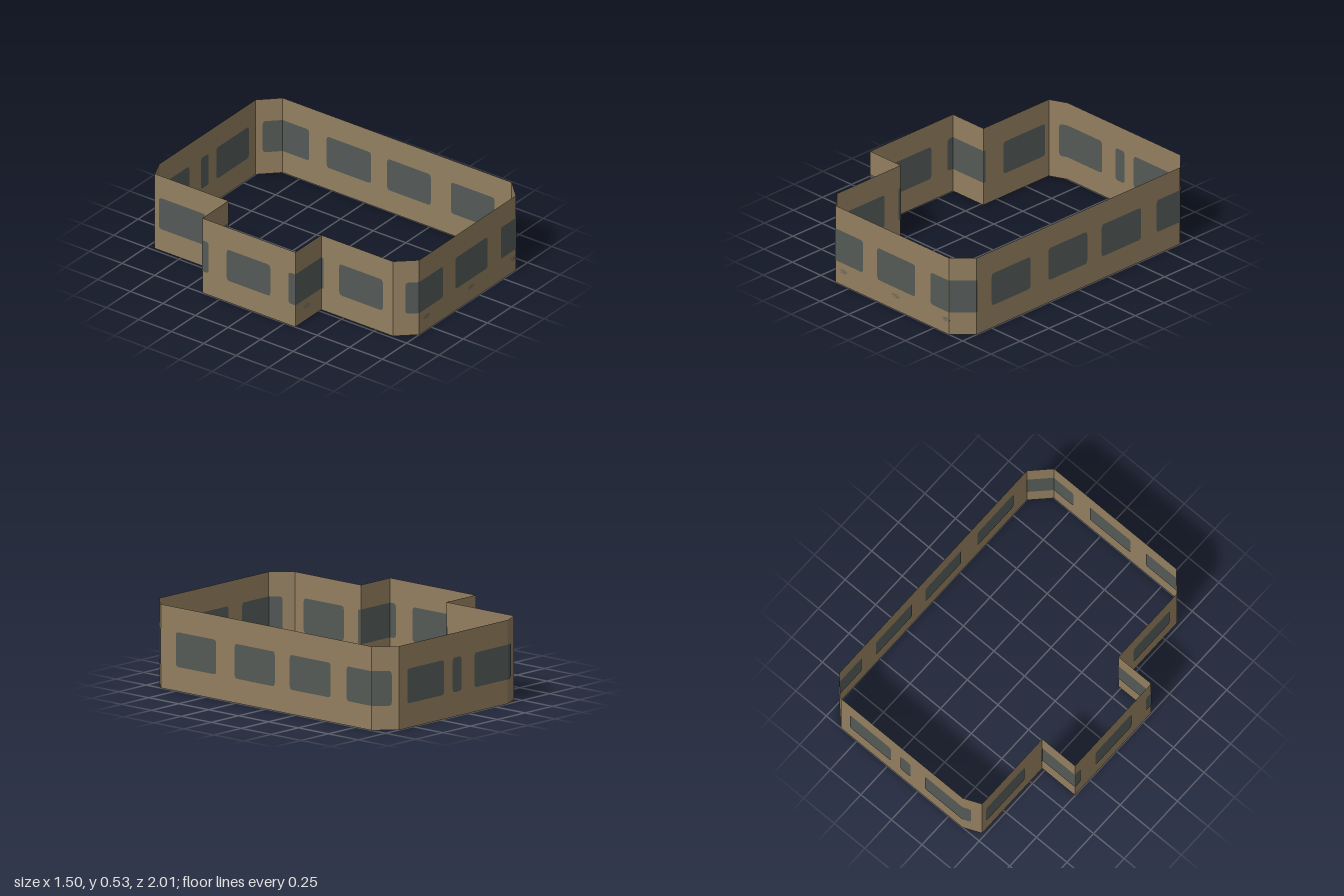
import * as THREE from 'three';

export function createModel() {
  const model = new THREE.Group();
  const wallMat = new THREE.MeshStandardMaterial({ color: 0x937f60, side: THREE.DoubleSide });
  wallMat.name = 'tan wall';
  const glassMat = new THREE.MeshStandardMaterial({ color: 0x545a57, side: THREE.DoubleSide });
  glassMat.name = 'dark glass';

  const HEIGHT = 0.53, SILL = 0.155, HEAD = 0.375, OFFSET = 0.003;

  // Floor outline (x, z), anticlockwise seen from above, starting at the front wall
  const outline = [
    [-0.37, 1], [0.63, 1], [0.748, 0.88], [0.748, -0.88], [0.63, -1], [-0.365, -1],
    [-0.48, -0.95], [-0.48, -0.385], [-0.748, -0.385], [-0.748, 0.33], [-0.48, 0.33], [-0.48, 0.88],
  ];
  let total = 0;
  const walls = outline.map(([x, z], i) => {
    const [x2, z2] = outline[(i + 1) % outline.length];
    const length = Math.hypot(x2 - x, z2 - z);
    const group = new THREE.Group();
    group.name = 'wall' + (i + 1);
    group.position.set(x, 0, z);
    group.rotation.y = Math.atan2(-(z2 - z), x2 - x);
    model.add(group);

    // Thin wall sheet
    const panel = new THREE.Mesh(new THREE.PlaneGeometry(length, HEIGHT), wallMat);
    panel.name = 'wallPanel';
    panel.position.set(length / 2, HEIGHT / 2, 0);
    group.add(panel);

    const wall = { group, length, start: total };
    total += length;
    return wall;
  });

  // Pane outline, rounded only at the ends that do not continue round a corner
  function paneShape(a, b, roundA, roundB) {
    const r = Math.min(0.022, (b - a) / 2);
    const ra = roundA ? r : 0, rb = roundB ? r : 0;
    const s = new THREE.Shape();
    s.moveTo(a + ra, SILL);
    s.lineTo(b - rb, SILL);
    if (rb) s.quadraticCurveTo(b, SILL, b, SILL + rb);
    s.lineTo(b, HEAD - rb);
    if (rb) s.quadraticCurveTo(b, HEAD, b - rb, HEAD);
    s.lineTo(a + ra, HEAD);
    if (ra) s.quadraticCurveTo(a, HEAD, a, HEAD - ra);
    s.lineTo(a, SILL + ra);
    if (ra) s.quadraticCurveTo(a, SILL, a + ra, SILL);
    return s;
  }

  // Lay a window along the outline, split where it wraps a corner, on both faces
  function addWindow(wallIndex, from, to) {
    const s0 = walls[wallIndex].start + from, s1 = walls[wallIndex].start + to;
    for (const w of walls) {
      for (const shift of [-total, 0, total]) {
        const a = s0 + shift - w.start, b = s1 + shift - w.start;
        const ca = Math.max(a, 0), cb = Math.min(b, w.length);
        if (cb - ca < 0.002) continue;
        const geo = new THREE.ShapeGeometry(paneShape(ca, cb, a >= 0, b <= w.length), 4);
        for (const side of [-1, 1]) {
          const pane = new THREE.Mesh(geo, glassMat);
          pane.name = side > 0 ? 'windowOutside' : 'windowInside';
          pane.position.z = side * OFFSET;
          w.group.add(pane);
        }
      }
    }
  }

  // Windows: wall index, start and end distance along that wall
  const windows = [
    [0, -0.085, 0.245], [0, 0.37, 0.705], [0, 0.84, 1.175],
    [2, 0.13, 0.465], [2, 0.62, 0.955], [2, 1.08, 1.42], [2, 1.555, 1.885],
    [4, 0.075, 0.41], [4, 0.49, 0.57], [4, 0.69, 1.05],
    [6, 0.035, 0.395], [7, -0.015, 0.318],
    [8, 0.19, 0.525], [8, 0.665, 1.003], [10, 0.14, 0.475],
  ];
  windows.forEach((w) => addWindow(...w));

  // Small slatted vents under the front windows: wall index, centre along wall
  for (const [i, at] of [[0, 0.075], [0, 0.535], [0, 0.975], [9, 0.113]]) {
    for (let k = -1; k <= 1; k++) {
      const slat = new THREE.Mesh(new THREE.PlaneGeometry(k ? 0.045 : 0.07, 0.004), glassMat);
      slat.name = 'ventSlat';
      slat.position.set(at, 0.1 + k * 0.01, OFFSET);
      walls[i].group.add(slat);
    }
  }
  return model;
}
